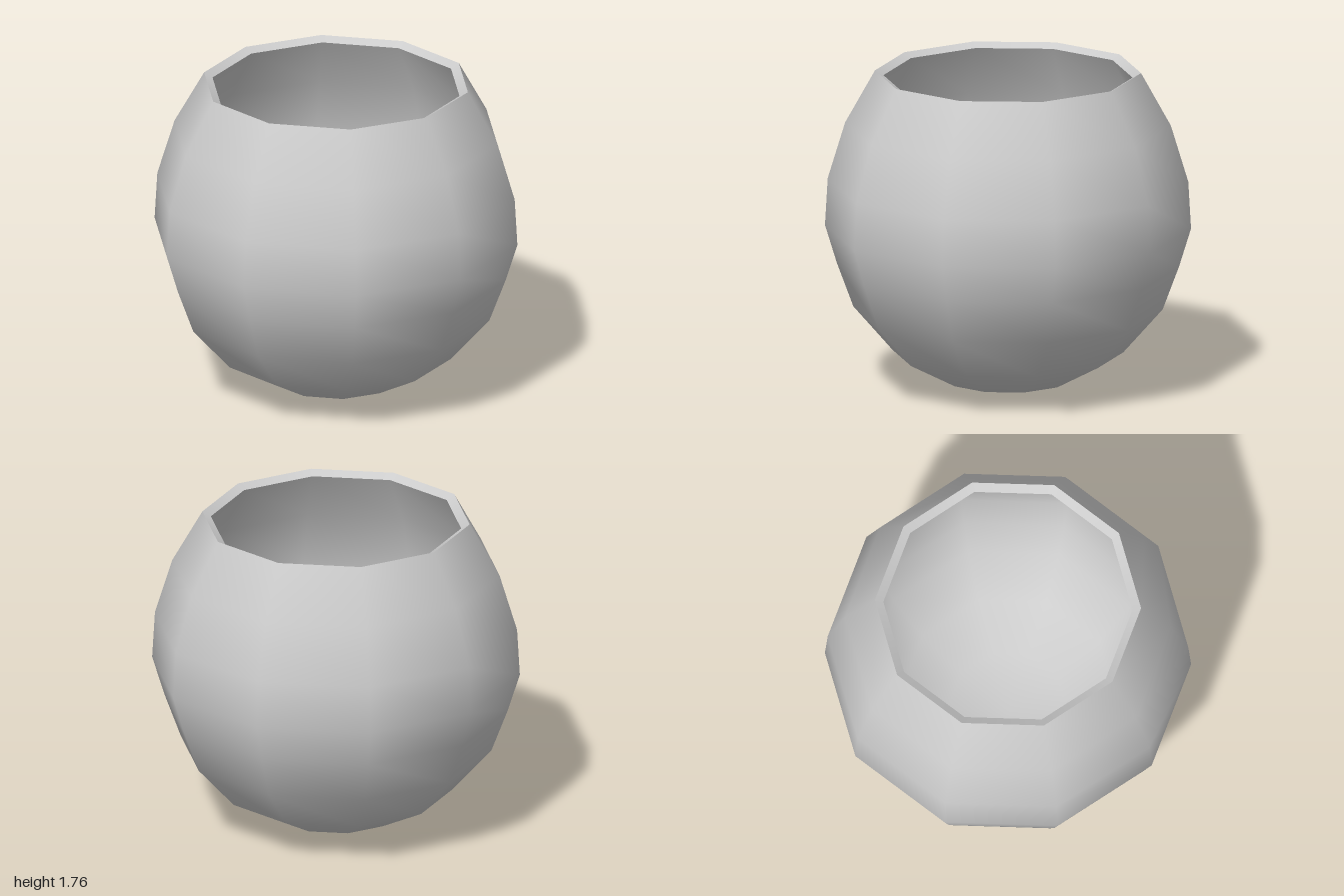
import * as THREE from 'three';

const SIDES = 10;
const WALL = 0.053;

// Outer wall from the pole at the bottom up to the rim: radius, height
const OUTER = [
  [0, 0], [0.345, 0.06], [0.63, 0.21], [0.845, 0.45], [0.935, 0.69],
  [1, 0.9], [0.985, 1.16], [0.89, 1.47], [0.727, 1.76],
].map(([r, y]) => new THREE.Vector2(r, y));

// Move the profile inwards along its normals by the wall thickness
function insetProfile(points, distance) {
  return points.map((p, i) => {
    if (i === 0) return new THREE.Vector2(0, p.y + distance);
    const before = points[i - 1];
    const after = points[Math.min(i + 1, points.length - 1)];
    const t = after.clone().sub(before).normalize();
    return new THREE.Vector2(p.x - t.y * distance, p.y + t.x * distance);
  });
}

// Ten-sided smooth surface of revolution with a corner on the x axis
function turned(name, points, material, poleNormalY = 0) {
  const geometry = new THREE.LatheGeometry(points, SIDES, Math.PI / 2);
  const { position, normal } = geometry.attributes;
  for (let i = 0; poleNormalY && i < position.count; i++) {
    if (Math.hypot(position.getX(i), position.getZ(i)) < 1e-5) normal.setXYZ(i, 0, poleNormalY, 0);
  }
  geometry.scale(1, 1, 0.987);
  const mesh = new THREE.Mesh(geometry, material);
  mesh.name = name;
  return mesh;
}

export function createModel() {
  const material = new THREE.MeshStandardMaterial({ color: 0xcccccc });
  const inner = insetProfile(OUTER, WALL).reverse();
  const bowl = new THREE.Group();
  bowl.name = 'bowl';
  bowl.add(
    turned('outerWall', OUTER, material, -1),
    // Rim slopes down towards the opening, with sharp edges on both sides
    turned('rim', [OUTER[OUTER.length - 1], inner[0]], material),
    turned('innerWall', inner, material, 1),
  );
  return bowl;
}
